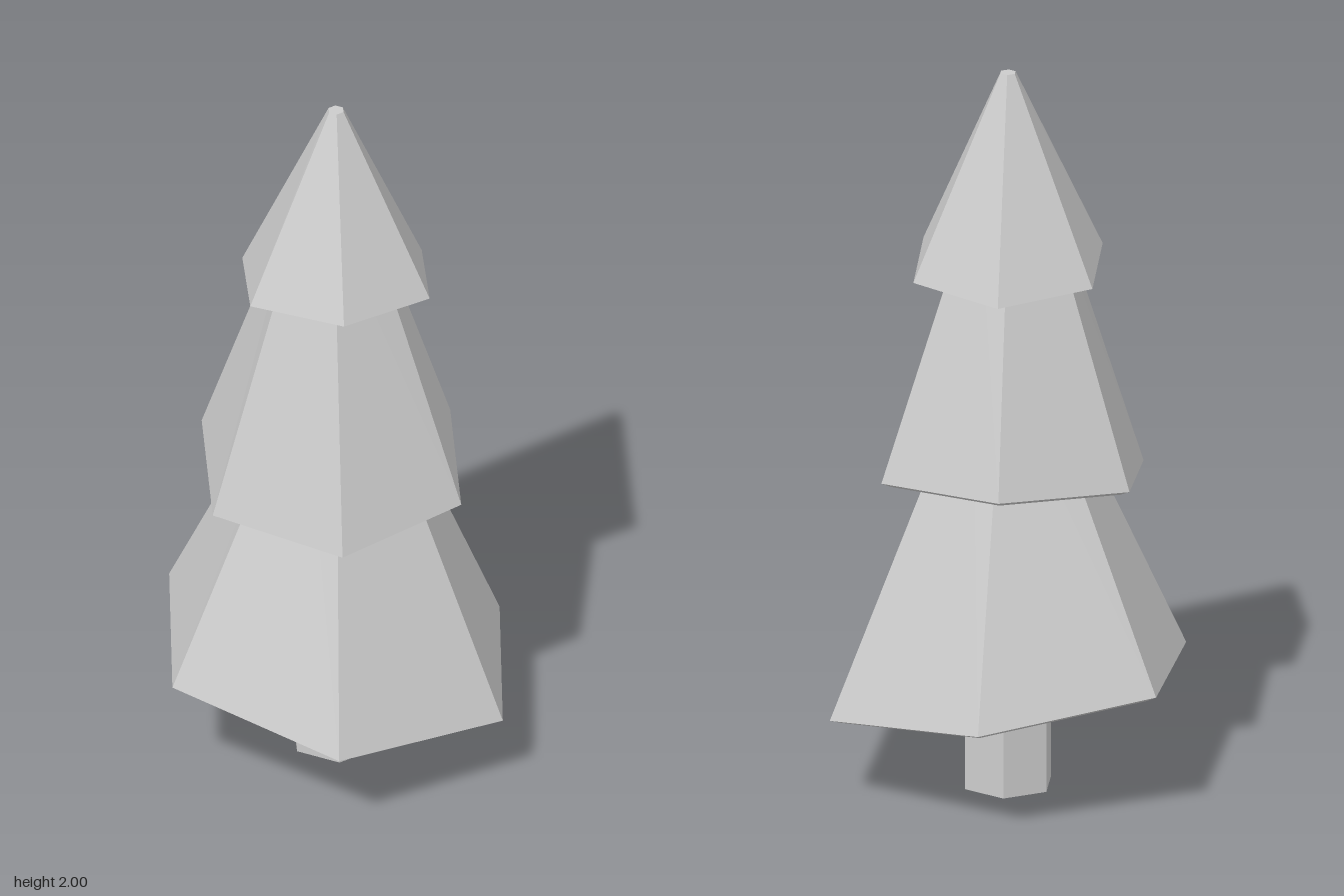
import * as THREE from 'three';

const SIDES = 6;
const material = new THREE.MeshStandardMaterial({ color: 0xcccccc, flatShading: true });

// One skirt of foliage: six-sided, level on top, with a tilted rim and a hollow underside.
function foliageTier({ name, x = 0, rimY, rimR, topY, topR, turn = 0, tiltX = 0, tiltZ = 0, innerR, rise }) {
  const height = topY - rimY;
  const profile = [
    [0, rise], [innerR, rise],          // ceiling under the tier
    [rimR - 0.03, -0.012], [rimR, 0],   // bevelled lip
    [topR, height], [0, height],        // outer slope and cap
  ].map(([r, y]) => new THREE.Vector2(r, y));
  const geometry = new THREE.LatheGeometry(profile, SIDES, turn);

  // Slant everything below the cap
  const p = geometry.attributes.position;
  for (let i = 0; i < p.count; i++) {
    if (p.getY(i) < height - 0.001) {
      p.setY(i, p.getY(i) + tiltX * p.getX(i) + tiltZ * p.getZ(i));
    }
  }
  geometry.computeVertexNormals();

  const mesh = new THREE.Mesh(geometry, material);
  mesh.name = name;
  mesh.position.set(x, rimY, 0);
  return mesh;
}

export function createModel() {
  const tree = new THREE.Group();
  tree.name = 'pineTree';

  // Trunk
  const trunk = new THREE.Mesh(new THREE.CylinderGeometry(0.125, 0.125, 0.6, SIDES), material);
  trunk.name = 'trunk';
  trunk.position.y = 0.3;
  tree.add(trunk);

  // Three stacked tiers, each leaning its own way
  tree.add(
    foliageTier({
      name: 'lowerFoliage', rimY: 0.285, rimR: 0.505, topY: 1.2, topR: 0.1,
      turn: -0.06, tiltX: -0.129, tiltZ: -0.055, innerR: 0.16, rise: 0.17,
    }),
    foliageTier({
      name: 'middleFoliage', x: -0.012, rimY: 0.875, rimR: 0.381, topY: 1.7, topR: 0.1,
      tiltZ: -0.125, innerR: 0.14, rise: 0.14,
    }),
    foliageTier({
      name: 'upperFoliage', rimY: 1.463, rimR: 0.275, topY: 2, topR: 0.022,
      tiltZ: 0.11, innerR: 0.11, rise: 0.1,
    }),
  );
  return tree;
}
